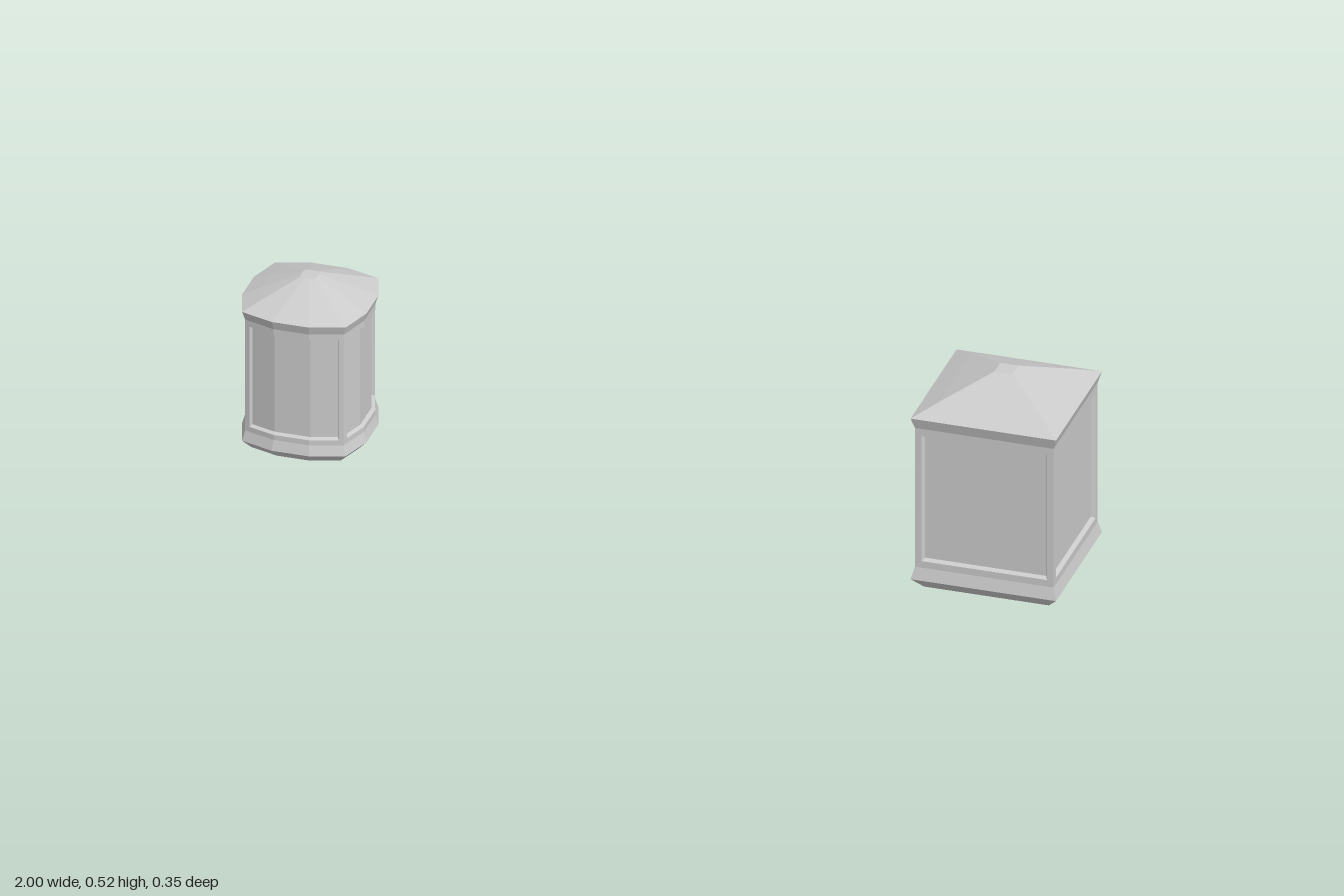
import * as THREE from 'three';

const material = new THREE.MeshStandardMaterial({ color: 0xcccccc, flatShading: true });

// Collects flat-shaded quads (corners counter-clockwise from outside)
class Faces {
  constructor() { this.points = []; }
  tri(a, b, c) {
    if (a.equals(b) || b.equals(c) || c.equals(a)) return;
    for (const p of [a, b, c]) this.points.push(p.x, p.y, p.z);
  }
  quad(a, b, c, d) { this.tri(a, b, c); this.tri(a, c, d); }
  // strips between neighbouring rows of points, rows running left to right and stacked upwards
  rows(rows) {
    for (let r = 0; r < rows.length - 1; r++)
      for (let i = 0; i < rows[r].length - 1; i++)
        this.quad(rows[r][i], rows[r][i + 1], rows[r + 1][i + 1], rows[r + 1][i]);
  }
  mesh(name) {
    const geometry = new THREE.BufferGeometry();
    geometry.setAttribute('position', new THREE.Float32BufferAttribute(this.points, 3));
    geometry.computeVertexNormals();
    const mesh = new THREE.Mesh(geometry, material);
    mesh.name = name;
    return mesh;
  }
}

// plan: one side's outline [across, outward] at half-width 1
// base, roof: profiles of [height, half-width] below and above the panelled wall
// panel: recess half-width, bottom, top, depth and bevel
function makeLantern(name, { plan, base, roof, panel }) {
  const lantern = new THREE.Group();
  lantern.name = name;
  const wall = roof[0][1];
  const [bottom, top] = [base[base.length - 1][0], roof[0][0]];
  const ring = ([y, h]) => plan.map(([u, w]) => new THREE.Vector3(u * h, y, w * h));

  // point on the wall, following the bowed outline of the side
  const onWall = (x, y, inset = 0) => {
    const u = x / wall;
    let i = 0;
    while (i < plan.length - 2 && u > plan[i + 1][0]) i++;
    const [[u0, w0], [u1, w1]] = [plan[i], plan[i + 1]];
    const w = w0 + (w1 - w0) * (u - u0) / (u1 - u0);
    return new THREE.Vector3(x, y, w * wall - inset);
  };

  const inner = plan.slice(1, -1).map(([u]) => u * wall);
  const corner = plan[plan.length - 1][0] * wall;
  const outerX = [-panel.half, ...inner, panel.half];
  const sunkX = [-panel.half + panel.bevel, ...inner, panel.half - panel.bevel];
  const line = (xs, y, inset) => xs.map(x => onWall(x, y, inset));

  const parts = { base: new Faces(), wallFrame: new Faces(), panelBevel: new Faces(), panel: new Faces(), roof: new Faces() };
  parts.base.rows(base.map(ring));
  parts.roof.rows(roof.map(ring));

  // frame around the recess: lower rail, upper rail and two stiles
  const full = [-corner, ...outerX, corner];
  parts.wallFrame.rows([line(full, bottom), line(full, panel.bottom)]);
  parts.wallFrame.rows([line(full, panel.top), line(full, top)]);
  for (const xs of [[-corner, -panel.half], [panel.half, corner]])
    parts.wallFrame.rows([line(xs, panel.bottom), line(xs, panel.top)]);

  // sunken panel and its bevelled surround
  const low = line(outerX, panel.bottom), high = line(outerX, panel.top);
  const sunkLow = line(sunkX, panel.bottom + panel.bevel, panel.depth);
  const sunkHigh = line(sunkX, panel.top - panel.bevel, panel.depth);
  const n = low.length - 1;
  parts.panel.rows([sunkLow, sunkHigh]);
  parts.panelBevel.rows([low, sunkLow]);
  parts.panelBevel.rows([sunkHigh, high]);
  parts.panelBevel.quad(low[0], sunkLow[0], sunkHigh[0], high[0]);
  parts.panelBevel.quad(sunkLow[n], low[n], high[n], sunkHigh[n]);

  // the same side four times around
  const meshes = Object.entries(parts).map(([part, faces]) => faces.mesh(part));
  for (let k = 0; k < 4; k++) {
    const side = new THREE.Group();
    side.name = 'side' + (k + 1);
    side.rotation.y = k * Math.PI / 2;
    side.add(...meshes.map(m => m.clone()));
    lantern.add(side);
  }
  return lantern;
}

export function createModel() {
  const model = new THREE.Group();
  model.name = 'lanternPair';

  const square = makeLantern('squareLantern', {
    plan: [[-1, 1], [1, 1]],
    base: [[0, 0], [0, 0.15], [0.028, 0.175], [0.058, 0.167]],
    roof: [[0.42, 0.167], [0.447, 0.175], [0.472, 0.123], [0.516, 0.022], [0.516, 0]],
    panel: { half: 0.151, bottom: 0.075, top: 0.401, depth: 0.01, bevel: 0.005 },
  });
  square.position.x = 0.825;

  const bowed = makeLantern('bowedLantern', {
    plan: [[-0.83, 0.83], [-0.3, 1], [0.3, 1], [0.83, 0.83]],
    base: [[0.075, 0], [0.075, 0.13], [0.097, 0.15], [0.122, 0.143]],
    roof: [[0.411, 0.143], [0.433, 0.15], [0.453, 0.105], [0.488, 0.02], [0.488, 0]],
    panel: { half: 0.107, bottom: 0.135, top: 0.396, depth: 0.009, bevel: 0.004 },
  });
  bowed.position.x = -0.85;

  model.add(square, bowed);
  return model;
}
